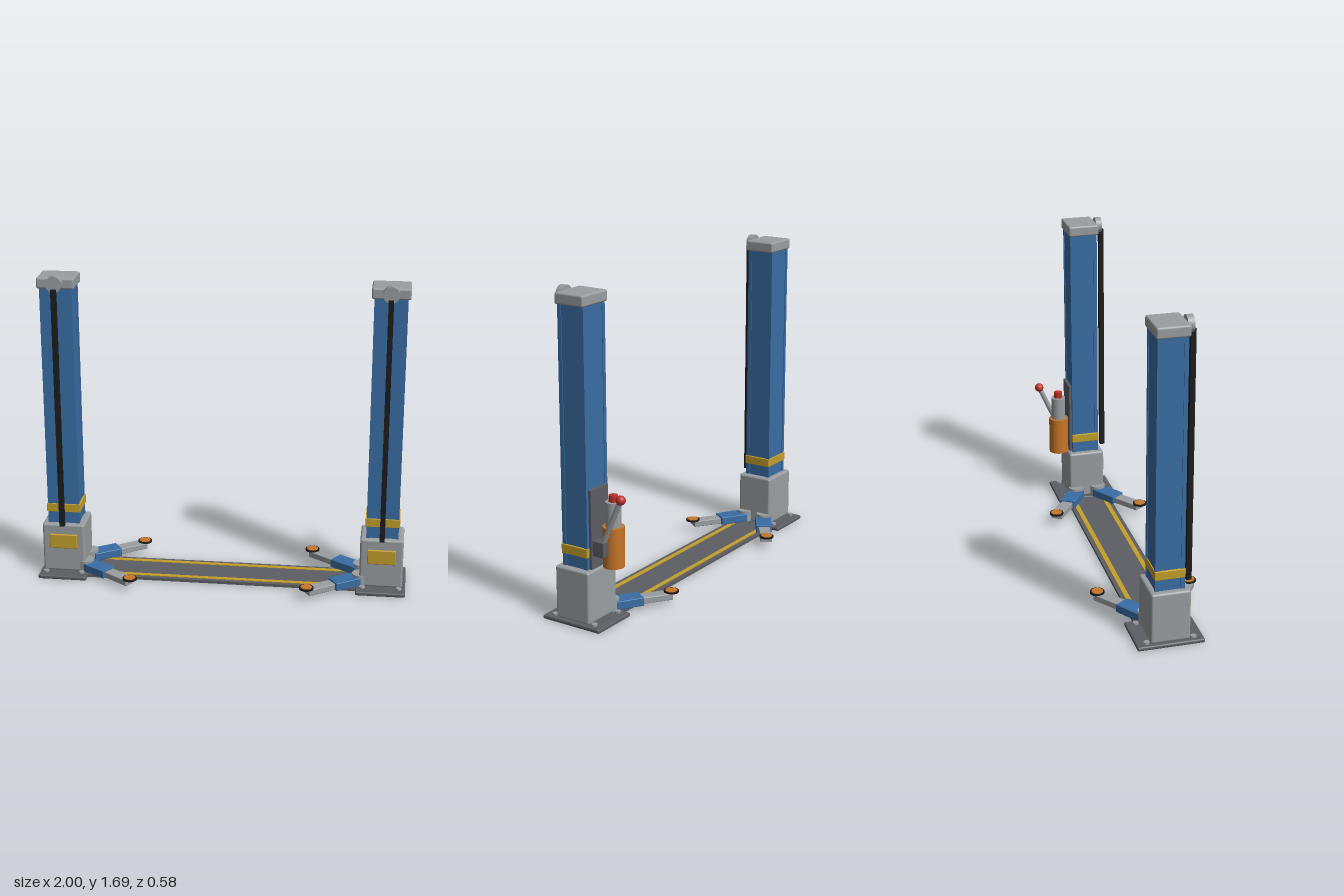
import * as THREE from 'three';
import { RoundedBoxGeometry } from 'three/addons/geometries/RoundedBoxGeometry.js';

const mat = (name, color) => {
  const m = new THREE.MeshStandardMaterial({ color });
  m.name = name;
  return m;
};

export function createModel() {
  const blue = mat('blue paint', 0x3a6ea5);
  const grey = mat('light grey metal', 0x9a9ea1);
  const dark = mat('dark grey steel', 0x5c5e64);
  const black = mat('black rubber', 0x1c1c1c);
  const yellow = mat('safety yellow', 0xc49f2c);
  const orange = mat('orange paint', 0xc87628);
  const red = mat('red knob', 0xc03028);

  const model = new THREE.Group();
  model.name = 'twoPostLift';

  const add = (parent, name, geometry, material, x, y, z) => {
    const mesh = new THREE.Mesh(geometry, material);
    mesh.name = name;
    mesh.position.set(x, y, z);
    parent.add(mesh);
    return mesh;
  };
  // Box given by its centre in x and z and its bottom and top; optional bevel
  const box = (parent, name, material, x, z, w, d, y0, y1, bevel = 0) => {
    const h = y1 - y0;
    const g = bevel ? new RoundedBoxGeometry(w, h, d, 2, bevel) : new THREE.BoxGeometry(w, h, d);
    return add(parent, name, g, material, x, (y0 + y1) / 2, z);
  };
  const drum = (parent, name, material, x, z, r, y0, y1, rTop = r) =>
    add(parent, name, new THREE.CylinderGeometry(rTop, r, y1 - y0, 28), material, x, (y0 + y1) / 2, z);

  // Swing arm in the x/z plane, from point a to point b
  const beam = (parent, name, material, a, b, width, y0, y1) => {
    const dx = b[0] - a[0], dz = b[1] - a[1];
    const mesh = box(parent, name, material, (a[0] + b[0]) / 2, (a[1] + b[1]) / 2,
      Math.hypot(dx, dz), width, y0, y1, 0.004);
    mesh.rotation.y = Math.atan2(-dz, dx);
  };

  // Floor plate between the posts, with yellow edge stripes
  box(model, 'floorPlate', dark, 0, 0, 1.48, 0.25, 0.002, 0.018);
  for (const z of [-0.09, 0.09]) box(model, 'floorStripe', yellow, 0, z, 1.4, 0.026, 0.016, 0.021);

  for (const side of [-1, 1]) {
    const post = new THREE.Group();
    post.name = side > 0 ? 'leftPost' : 'rightPost';
    post.position.x = side * 0.867;
    model.add(post);

    // Base plate and anchor bolts
    box(post, 'basePlate', dark, 0, 0, 0.266, 0.35, 0, 0.022, 0.008);
    for (const x of [-0.098, 0.098])
      for (const z of [-0.122, 0.122]) drum(post, 'anchorBolt', grey, x, z, 0.015, 0.02, 0.032);

    // Column with raised corner strips
    box(post, 'column', blue, 0, 0, 0.164, 0.146, 0.28, 1.63);
    for (const x of [-0.076, 0.076])
      for (const z of [-0.066, 0.066]) box(post, 'columnCorner', blue, x, z, 0.02, 0.021, 0.28, 1.63);
    box(post, 'warningBand', yellow, 0, 0, 0.184, 0.158, 0.362, 0.41, 0.003);

    // Carriage housing and its front plate
    box(post, 'carriage', grey, 0, 0, 0.232, 0.205, 0.022, 0.298, 0.012);
    box(post, 'carriagePlate', yellow, 0, 0.107, 0.152, 0.014, 0.16, 0.242, 0.005);

    // Top cap, pulley and lifting strap
    box(post, 'topCap', grey, 0, 0, 0.2, 0.17, 1.617, 1.675, 0.01);
    const pulley = add(post, 'pulley', new THREE.CylinderGeometry(0.043, 0.043, 0.034, 28), grey, 0, 1.65, 0.102);
    pulley.rotation.x = Math.PI / 2;
    box(post, 'liftStrap', black, 0, 0.121, 0.027, 0.027, 0.3, 1.625);

    // Swing arms, pointing toward the middle
    for (const f of [-1, 1]) {
      const arm = new THREE.Group();
      arm.name = f > 0 ? 'frontArm' : 'rearArm';
      post.add(arm);
      const pt = (x, z) => [-side * x, f * z];
      const root = pt(0.122, 0.064), joint = pt(0.257, 0.153), tip = pt(0.39, 0.249);
      drum(arm, 'armPivot', grey, ...pt(0.112, 0.065), 0.044, 0.022, 0.084);
      beam(arm, 'outerArm', blue, root, joint, 0.09, 0.026, 0.071);
      beam(arm, 'innerArm', grey, joint, tip, 0.065, 0.03, 0.064);
      drum(arm, 'padRim', black, ...tip, 0.039, 0.062, 0.071);
      drum(arm, 'padTop', orange, ...tip, 0.031, 0.07, 0.074);
    }
  }

  // Power unit on the back of the left post
  const unit = new THREE.Group();
  unit.name = 'powerUnit';
  model.add(unit);
  box(unit, 'mountPlate', dark, 0.867, -0.083, 0.14, 0.016, 0.3, 0.71);
  drum(unit, 'oilTank', orange, 0.832, -0.149, 0.055, 0.3, 0.51);
  drum(unit, 'motor', grey, 0.832, -0.149, 0.04, 0.51, 0.638);
  drum(unit, 'motorKnob', red, 0.832, -0.149, 0.023, 0.636, 0.672);
  box(unit, 'leverBracket', dark, 0.903, -0.122, 0.05, 0.068, 0.37, 0.45, 0.004);

  // Release lever with a ball grip
  const foot = new THREE.Vector3(0.903, 0.42, -0.13);
  const grip = new THREE.Vector3(0.903, 0.682, -0.246);
  add(unit, 'lever', new THREE.TubeGeometry(new THREE.LineCurve3(foot, grip), 1, 0.014, 14), grey, 0, 0, 0);
  add(unit, 'leverGrip', new THREE.SphereGeometry(0.025, 20, 14), red, grip.x, grip.y, grip.z);

  return model;
}
